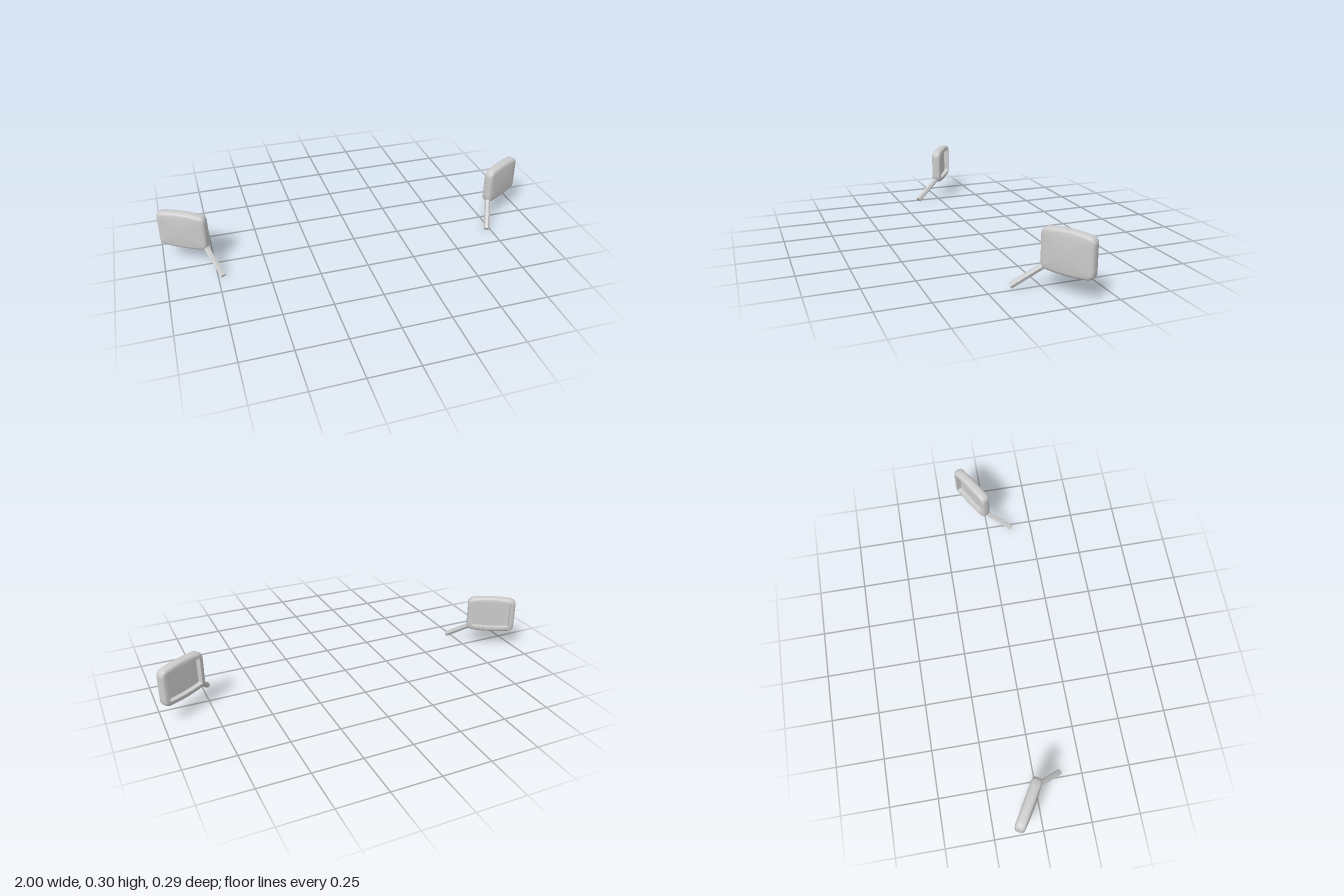
import * as THREE from 'three';
import { toCreasedNormals } from 'three/addons/utils/BufferGeometryUtils.js';

const HALF_W = 0.131, HALF_H = 0.1035, CORNER = 0.03, ARCH = 0.1;

// Rounded rectangle outline, inset from the housing size, with arched top and bottom
function outline({ inset, z, scale = 1 }) {
  const w = HALF_W - inset, h = HALF_H - inset;
  const r = Math.max(CORNER - inset, 0.004);
  const signs = [[1, 1], [-1, 1], [-1, -1], [1, -1]];
  const pts = [];
  signs.forEach(([sx, sy], q) => {
    for (let i = 0; i <= 5; i++) {
      const a = (q + i / 5) * Math.PI / 2;
      pts.push(new THREE.Vector2(sx * (w - r) + r * Math.cos(a), sy * (h - r) + r * Math.sin(a)));
    }
    // straight run to the next corner, divided so it can bend
    const [nx, ny] = signs[(q + 1) % 4];
    const a = (q + 1) * Math.PI / 2;
    const end = new THREE.Vector2(nx * (w - r) + r * Math.cos(a), ny * (h - r) + r * Math.sin(a));
    const start = pts[pts.length - 1].clone();
    for (let i = 1; i < 10; i++) pts.push(start.clone().lerp(end, i / 10));
  });
  return pts.map(p => [
    p.x * scale,
    p.y * (1 - ARCH * (p.x / HALF_W) ** 2) * scale,
    z,
  ]);
}

// Skin a list of outlines, front to back
function loft(rings) {
  const loops = rings.map(outline), n = loops[0].length, index = [];
  for (let i = 0; i < loops.length - 1; i++) {
    for (let j = 0; j < n; j++) {
      const a = i * n + j, b = i * n + (j + 1) % n, c = a + n, d = b + n;
      if (rings[i].scale !== 0) index.push(a, c, b);
      if (rings[i + 1].scale !== 0) index.push(b, c, d);
    }
  }
  const g = new THREE.BufferGeometry();
  g.setAttribute('position', new THREE.Float32BufferAttribute(loops.flat(2), 3));
  g.setIndex(index);
  return g;
}

// Turn a local piece outwards and move it to the mirror head
const placeHead = g => g.rotateY(THREE.MathUtils.degToRad(31)).translate(0.882, 0.196, -0.059);

// Copy a geometry to the other side, keeping faces outward
function flipSide(g) {
  const m = g.clone().scale(-1, 1, 1), idx = m.index.array;
  for (let i = 0; i < idx.length; i += 3) [idx[i], idx[i + 1]] = [idx[i + 1], idx[i]];
  return m;
}

function housingGeometry() {
  const rings = [];
  // gently domed front
  for (const s of [0, 0.3, 0.6, 0.85]) rings.push({ inset: 0.018, z: 0.025 + 0.005 * (1 - s * s), scale: s });
  // rounded front edge
  for (let i = 0; i <= 5; i++) {
    const a = i / 5 * Math.PI / 2;
    rings.push({ inset: 0.018 * (1 - Math.sin(a)), z: 0.006 + 0.019 * Math.cos(a) });
  }
  // rounded back edge
  for (let i = 0; i <= 5; i++) {
    const a = i / 5 * Math.PI / 2;
    rings.push({ inset: 0.018 * (1 - Math.cos(a)), z: -0.011 - 0.017 * Math.sin(a) });
  }
  // rim and walls of the recess
  rings.push({ inset: 0.028, z: -0.028 }, { inset: 0.029, z: -0.001 });
  return placeHead(loft(rings));
}

function glassGeometry() {
  return placeHead(loft([{ inset: 0.0285, z: -0.002 }, { inset: 0.0285, z: -0.002, scale: 0 }]));
}

// Faceted arm from the mounting end up into the lower inner corner of the head
function stalkGeometry() {
  const from = new THREE.Vector3(0.725, 0.0125, 0.137);
  const to = new THREE.Vector3(0.79, 0.122, -0.006);
  const dir = to.clone().sub(from);
  const g = new THREE.CylinderGeometry(0.015, 0.015, dir.length(), 6);
  g.applyQuaternion(new THREE.Quaternion().setFromUnitVectors(new THREE.Vector3(0, 1, 0), dir.normalize()));
  const mid = from.add(to).multiplyScalar(0.5);
  return g.translate(mid.x, mid.y, mid.z);
}

export function createModel() {
  const model = new THREE.Group();
  model.name = 'wingMirrors';
  const material = new THREE.MeshStandardMaterial({ color: 0xcccccc });
  const parts = { Housing: housingGeometry(), Glass: glassGeometry(), Stalk: stalkGeometry() };

  for (const side of ['left', 'right']) {
    const mirror = new THREE.Group();
    mirror.name = side + 'Mirror';
    for (const [name, g] of Object.entries(parts)) {
      const geometry = toCreasedNormals(side === 'left' ? g : flipSide(g), 0.6);
      const mesh = new THREE.Mesh(geometry, material);
      mesh.name = side + name;
      mirror.add(mesh);
    }
    model.add(mirror);
  }
  return model;
}
